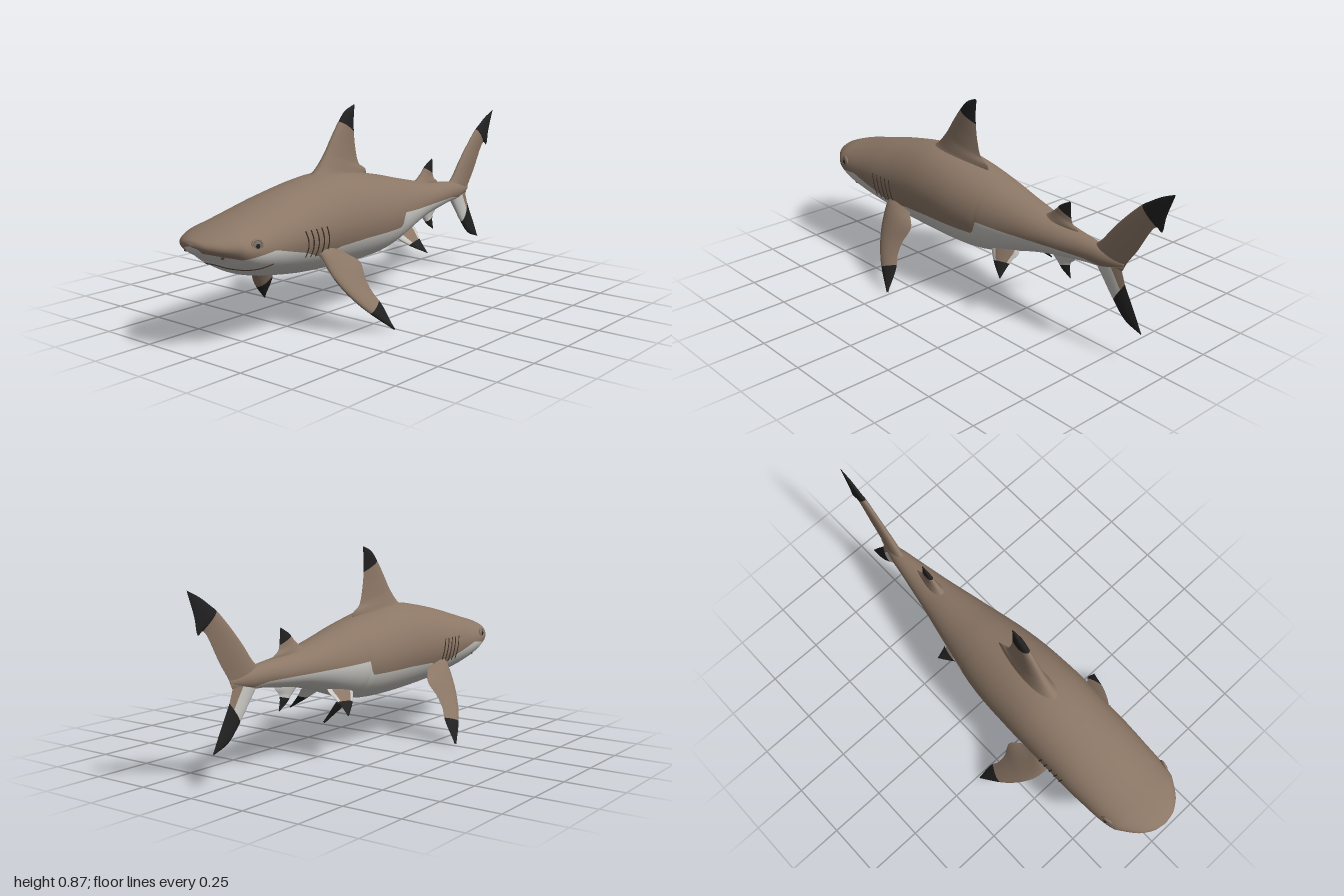
import * as THREE from 'three';

const mat = (name, color) => Object.assign(new THREE.MeshStandardMaterial({ color }), { name });

// Body stations along x: [x, top, bottom, half width]
const BODY = [
  [-1, .428, .428, 0], [-.992, .442, .408, .045], [-.975, .451, .392, .08], [-.95, .461, .375, .112],
  [-.9, .477, .347, .15], [-.87, .485, .322, .168], [-.8, .503, .285, .18], [-.7, .53, .257, .186],
  [-.6, .555, .24, .19], [-.5, .576, .226, .19], [-.4, .594, .218, .19], [-.3, .604, .213, .19],
  [-.2, .6, .21, .187], [-.1, .586, .21, .182], [0, .567, .215, .171], [.1, .546, .232, .153],
  [.2, .521, .262, .131], [.3, .498, .295, .109], [.4, .476, .32, .087], [.5, .46, .336, .067],
  [.6, .449, .35, .048], [.68, .437, .356, .033], [.78, .405, .385, .004]];
// Height of the line between back and belly colours: [x, y]
const LINE = [[-1, .425], [-.98, .4], [-.88, .372], [-.74, .39], [-.58, .35], [-.47, .31], [-.36, .335],
  [-.2, .34], [.068, .338], [.085, .4], [.2, .392], [.4, .385], [.6, .38], [.68, .365], [.78, .39]];

// Smooth lookup of column k at x
function smooth(rows, k, x) {
  let i = 0;
  while (i < rows.length - 2 && x > rows[i + 1][0]) i++;
  const slope = (a, b) => (rows[b][k] - rows[a][k]) / (rows[b][0] - rows[a][0]);
  const last = rows.length - 1, h = rows[i + 1][0] - rows[i][0], u = (x - rows[i][0]) / h;
  const m0 = slope(Math.max(i - 1, 0), i + 1) * h, m1 = slope(i, Math.min(i + 2, last)) * h;
  const a = rows[i][k], b = rows[i + 1][k];
  return a + u * (m0 + u * (3 * (b - a) - 2 * m0 - m1 + u * (2 * (a - b) + m0 + m1)));
}
function linear(rows, x) {
  let i = 0;
  while (i < rows.length - 2 && x > rows[i + 1][0]) i++;
  const [a, b] = [rows[i], rows[i + 1]];
  return a[1] + (b[1] - a[1]) * (x - a[0]) / (b[0] - a[0]);
}
const section = x => {
  const top = smooth(BODY, 1, x), bottom = smooth(BODY, 2, x);
  return { mid: (top + bottom) / 2, half: (top - bottom) / 2, wide: Math.max(smooth(BODY, 3, x), 0) };
};
// Point on the body at x and angle (0 = side, PI/2 = top)
function skin(x, angle) {
  const s = section(x);
  return new THREE.Vector3(x, s.mid + s.half * Math.sin(angle), s.wide * Math.cos(angle));
}
// Point on the +z side of the body at x and height y
function skinAt(x, y) {
  const s = section(x);
  return skin(x, Math.asin(THREE.MathUtils.clamp((y - s.mid) / s.half, -1, 1)));
}

// Skins closed rings of points; pick(i, j) gives the material index of each quad
function loft(rings, materials, pick) {
  const n = rings[0].length, pts = rings.flat(), buckets = materials.map(() => []);
  const base = new THREE.Vector3();
  rings[0].forEach(p => base.addScaledVector(p, 1 / n));
  const local = pts.map(p => p.clone().sub(base)), v = new THREE.Vector3();
  let volume = 0;
  const tri = (bucket, a, b, c) => {
    bucket.push(a, b, c);
    volume += local[a].dot(v.crossVectors(local[b], local[c]));
  };
  for (let i = 0; i < rings.length - 1; i++) for (let j = 0; j < n; j++) {
    const a = i * n + j, b = i * n + (j + 1) % n, bucket = buckets[pick(i, j)];
    tri(bucket, a, b, a + n);
    tri(bucket, b, b + n, a + n);
  }
  // Turn the faces outward (volume is measured from the open base)
  if (volume < 0) for (const k of buckets) for (let i = 0; i < k.length; i += 3) [k[i], k[i + 1]] = [k[i + 1], k[i]];
  const geo = new THREE.BufferGeometry().setFromPoints(pts);
  geo.setIndex(buckets.flat());
  let start = 0;
  buckets.forEach((k, i) => { geo.addGroup(start, k.length, i); start += k.length; });
  geo.computeVertexNormals();
  return new THREE.Mesh(geo, materials);
}

// Fin from rows of [lead point, trail point, half thickness]; paint(t, s, outer) picks the colour
function fin(name, rows, normal, materials, paint) {
  const curve = k => new THREE.CatmullRomCurve3(rows.map(r => new THREE.Vector3(...r[k])));
  const lead = curve(0), trail = curve(1), m = 16, steps = (rows.length - 1) * 8, rings = [];
  for (let i = 0; i <= steps; i++) {
    const u = i / steps, f = u * (rows.length - 1), k = Math.min(Math.floor(f), rows.length - 2);
    const thick = THREE.MathUtils.lerp(rows[k][2], rows[k + 1][2], f - k);
    const a = lead.getPoint(u), b = trail.getPoint(u), ring = [];
    for (let j = 0; j < 2 * m; j++) {
      const s = (1 - Math.cos(j * Math.PI / m)) / 2;
      const bulge = thick * 2.6 * Math.sqrt(s) * (1 - s) * (j < m ? 1 : -1);
      ring.push(a.clone().lerp(b, s).addScaledVector(normal, bulge));
    }
    rings.push(ring);
  }
  const mesh = loft(rings, materials, (i, j) =>
    paint((i + .5) / 8, (1 - Math.cos((j + .5) * Math.PI / m)) / 2, j < m));
  mesh.name = name;
  return mesh;
}

export function createModel() {
  const shark = new THREE.Group();
  shark.name = 'shark';
  const brown = mat('back brown', 0x8c7766), pale = mat('belly pale grey', 0xc9c7c2);
  const black = mat('fin tip black', 0x212122), dark = mat('slit dark brown', 0x40342b);
  const iris = mat('iris grey', 0x77706a);
  const finMats = [brown, pale, black];

  // Body, each ring split at the colour line
  const half = 28, rings = [];
  for (let i = 0; i <= 150; i++) {
    const x = -1 + 1.78 * Math.pow(i / 150, 1.5), s = section(x);
    const split = Math.asin(THREE.MathUtils.clamp((linear(LINE, x) - s.mid) / (s.half + 1e-6), -.96, .96));
    const ring = [];
    for (let j = 0; j < half; j++) ring.push(skin(x, split + (Math.PI - 2 * split) * j / half));
    for (let j = 0; j < half; j++) ring.push(skin(x, Math.PI - split + (Math.PI + 2 * split) * j / half));
    rings.push(ring);
  }
  const body = loft(rings, [brown, pale], (i, j) => j < half ? 0 : 1);
  body.name = 'body';
  shark.add(body);

  // Fins on the middle line: rows of [lead x, lead y, trail x, trail y, half thickness]
  const side = new THREE.Vector3(0, 0, 1);
  const middleFin = (name, rows, paint) => shark.add(fin(name,
    rows.map(r => [[r[0], r[1], 0], [r[2], r[3], 0], r[4]]), side, finMats, paint));
  const tipped = (row, base) => t => t > row ? 2 : base;
  middleFin('dorsalFin', [[-.4, .57, .0, .54, .06], [-.325, .612, .0, .584, .04], [-.265, .675, -.045, .615, .028],
    [-.22, .74, -.067, .68, .021], [-.172, .803, -.077, .755, .016], [-.13, .845, -.077, .82, .012],
    [-.076, .868, -.072, .862, .002]], tipped(4, 0));
  middleFin('secondDorsalFin', [[.32, .47, .52, .44, .03], [.37, .488, .535, .457, .022], [.405, .515, .502, .482, .014],
    [.432, .542, .493, .51, .01], [.485, .573, .49, .568, .001]], tipped(2.7, 0));
  middleFin('analFin', [[.36, .36, .51, .37, .025], [.39, .325, .525, .335, .018], [.425, .295, .5, .307, .012],
    [.453, .267, .495, .285, .009], [.5, .237, .502, .243, .001]], tipped(2.5, 1));
  middleFin('upperTailFin', [[.6, .42, .74, .345, .022], [.655, .462, .768, .368, .02], [.71, .53, .79, .41, .017],
    [.775, .603, .835, .475, .014], [.85, .675, .92, .605, .012], [.875, .692, .945, .592, .011],
    [.935, .73, .962, .66, .008], [.997, .758, .995, .752, .001]], tipped(4, 0));
  middleFin('lowerTailFin', [[.6, .4, .76, .41, .022], [.63, .37, .768, .37, .02], [.68, .305, .777, .345, .016],
    [.735, .233, .787, .318, .013], [.8, .167, .84, .22, .01], [.882, .136, .88, .142, .002]],
  (t, s) => t > 3 ? 2 : s < .65 ? 1 : 0);

  // Paired parts on both sides
  for (const [word, m] of [['left', 1], ['right', -1]]) {
    const pair = (name, rows, normal, paint) => shark.add(fin(word + name,
      rows.map(r => [[r[0], r[1], r[2] * m], [r[3], r[4], r[5] * m], r[6]]),
      new THREE.Vector3(0, normal[0], normal[1] * m), finMats, paint));
    pair('PectoralFin', [[-.49, .36, .13, -.36, .36, .13, .022], [-.487, .315, .175, -.34, .31, .165, .024],
      [-.47, .24, .222, -.285, .262, .205, .02], [-.437, .175, .262, -.298, .2, .246, .017],
      [-.39, .115, .3, -.293, .15, .277, .015], [-.343, .07, .328, -.27, .1, .306, .013],
      [-.262, .003, .366, -.26, .008, .363, .005]], [.51, .86],
    (t, s, outer) => t > 4.75 ? 2 : !outer && t < 2.1 ? 1 : 0);
    pair('PelvicFin', [[.09, .31, .04, .24, .32, .035, .018], [.105, .282, .07, .268, .288, .07, .016],
      [.135, .255, .097, .258, .265, .092, .012], [.175, .228, .122, .25, .242, .112, .009],
      [.245, .191, .156, .246, .195, .153, .002]], [.65, .76],
    (t, s, outer) => t > 2.7 ? 2 : outer && s > .2 && s < .85 ? 0 : 1);

    // Gill slits
    for (let i = 0; i < 5; i++) {
      const pts = [0, .25, .5, .75, 1].map(u => {
        const p = skinAt(-.583 + i * .03 + .012 * u + .008 * Math.sin(u * Math.PI), .435 - u * (.105 + i * .004));
        p.z *= m;
        return p;
      });
      const slit = new THREE.Mesh(new THREE.TubeGeometry(new THREE.CatmullRomCurve3(pts), 16, .003, 6), dark);
      slit.name = word + 'GillSlit';
      shark.add(slit);
    }

    // Eye: lid, iris and pupil
    const eye = new THREE.Group();
    eye.name = word + 'Eye';
    eye.position.copy(skinAt(-.825, .42));
    eye.position.z = (eye.position.z - .003) * m;
    eye.rotation.y = m > 0 ? -.2 : Math.PI + .2;
    const lid = new THREE.Mesh(new THREE.TorusGeometry(.022, .005, 8, 28), brown);
    const ball = new THREE.Mesh(new THREE.SphereGeometry(.02, 24, 16), iris);
    ball.scale.z = .4;
    const pupil = new THREE.Mesh(new THREE.SphereGeometry(.009, 16, 12), black);
    pupil.scale.z = .35;
    pupil.position.z = .007;
    lid.name = 'eyelid'; ball.name = 'iris'; pupil.name = 'pupil';
    eye.add(lid, ball, pupil);
    shark.add(eye);

    // Nostril
    const nostril = new THREE.Mesh(new THREE.SphereGeometry(.008, 12, 8), dark);
    nostril.name = word + 'Nostril';
    nostril.scale.set(1.3, .6, .6);
    nostril.position.copy(skinAt(-.93, .383));
    nostril.position.z *= m;
    shark.add(nostril);
  }

  // Mouth line curving under the snout
  const lip = [];
  for (let i = -8; i <= 8; i++) {
    const u = i / 8, p = skin(-.885 + .15 * u * u, -Math.PI / 2 + Math.abs(u) * 1.1);
    p.z *= Math.sign(u);
    lip.push(p);
  }
  const mouth = new THREE.Mesh(new THREE.TubeGeometry(new THREE.CatmullRomCurve3(lip), 60, .003, 6), dark);
  mouth.name = 'mouth';
  shark.add(mouth);
  return shark;
}
